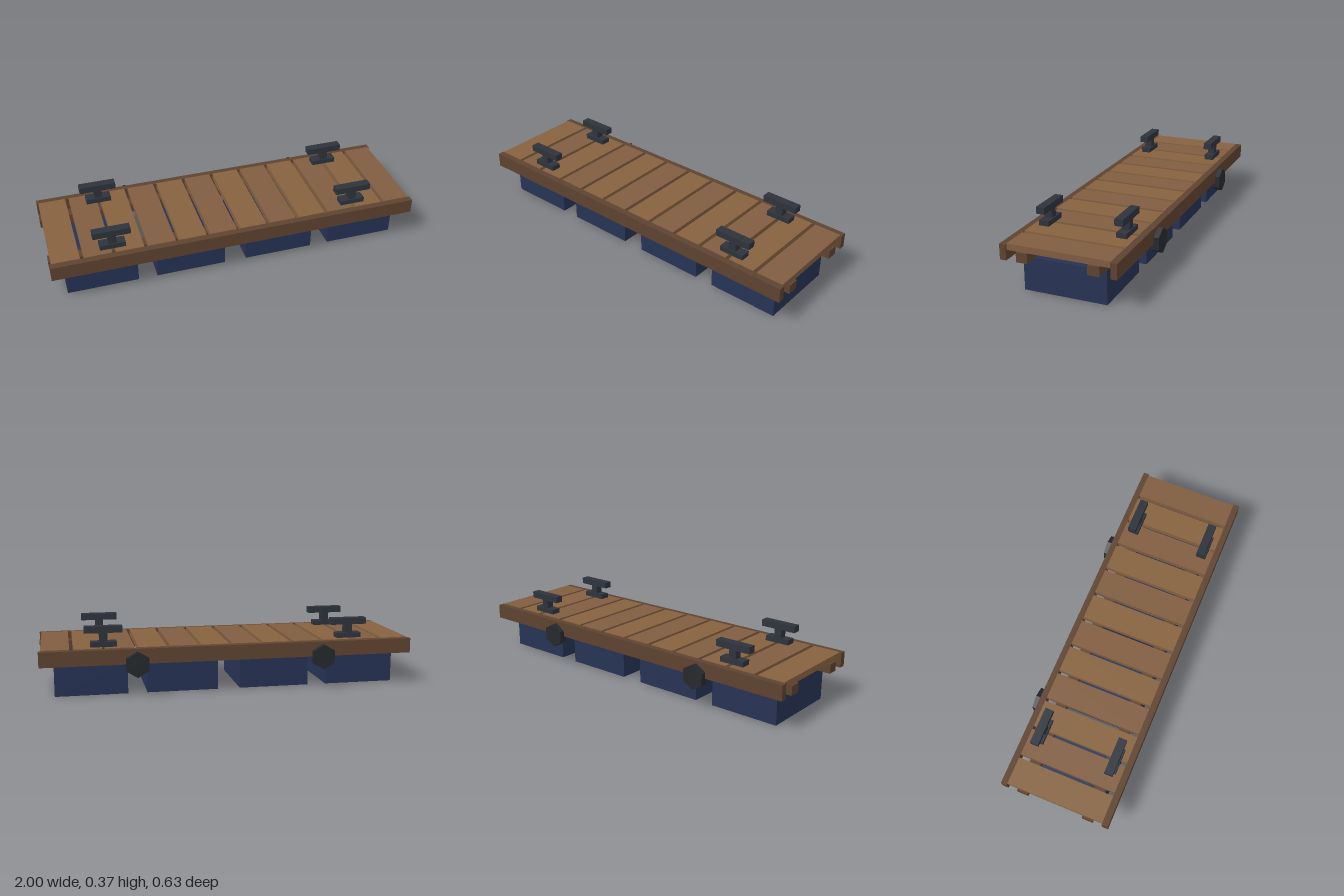
import * as THREE from 'three';

const paint = (color) => new THREE.MeshStandardMaterial({ color, flatShading: true });

export function createModel() {
  const dock = new THREE.Group();
  dock.name = 'floatingDock';
  const plankWood = [paint(0x86623f), paint(0x805d40)];
  const frameWood = paint(0x5e4330);
  const floatBlue = paint(0x273355);
  const iron = paint(0x2e333c);
  const rubber = paint(0x26292d);

  // Box given by its centre x and its y and z ranges
  function box(parent, name, material, x, width, [y0, y1], [z0, z1]) {
    const mesh = new THREE.Mesh(new THREE.BoxGeometry(width, y1 - y0, z1 - z0), material);
    mesh.position.set(x, (y0 + y1) / 2, (z0 + z1) / 2);
    mesh.name = name;
    parent.add(mesh);
  }

  // Deck planks
  for (let i = 0; i < 12; i++) {
    box(dock, 'deckPlank', plankWood[i % 2], (i - 5.5) / 6, 0.147, [0.225, 0.258], [-0.254, 0.28]);
  }

  // Side rails and the stringers under the deck
  box(dock, 'frontRail', frameWood, 0, 2, [0.175, 0.255], [0.28, 0.314]);
  box(dock, 'backRail', frameWood, 0, 2, [0.175, 0.255], [-0.287, -0.254]);
  box(dock, 'frontStringer', frameWood, 0, 2, [0.175, 0.225], [0.168, 0.227]);
  box(dock, 'backStringer', frameWood, 0, 2, [0.175, 0.225], [-0.2, -0.14]);

  // Floats
  for (const x of [-0.735, -0.251, 0.251, 0.735]) {
    box(dock, 'float', floatBlue, x, 0.382, [0, 0.175], [-0.203, 0.231]);
  }

  // Mooring cleats: foot, stem and crossbar
  for (const x of [-0.667, 0.667]) {
    for (const z of [-0.193, 0.2215]) {
      const cleat = new THREE.Group();
      cleat.name = 'cleat';
      cleat.position.set(x, 0, z);
      box(cleat, 'cleatFoot', iron, 0, 0.136, [0.258, 0.285], [-0.027, 0.027]);
      box(cleat, 'cleatStem', iron, 0, 0.042, [0.285, 0.331], [-0.0205, 0.0205]);
      box(cleat, 'cleatBar', iron, 0, 0.198, [0.331, 0.366], [-0.0225, 0.0225]);
      dock.add(cleat);
    }
  }

  // Hexagonal bumpers on the back rail, one corner pointing up
  for (const x of [-0.5, 0.5]) {
    const bumper = new THREE.Mesh(new THREE.CylinderGeometry(0.0675, 0.0675, 0.04, 6), rubber);
    bumper.rotation.x = Math.PI / 2;
    bumper.position.set(x, 0.175, -0.294);
    bumper.name = 'bumper';
    dock.add(bumper);
  }

  return dock;
}
